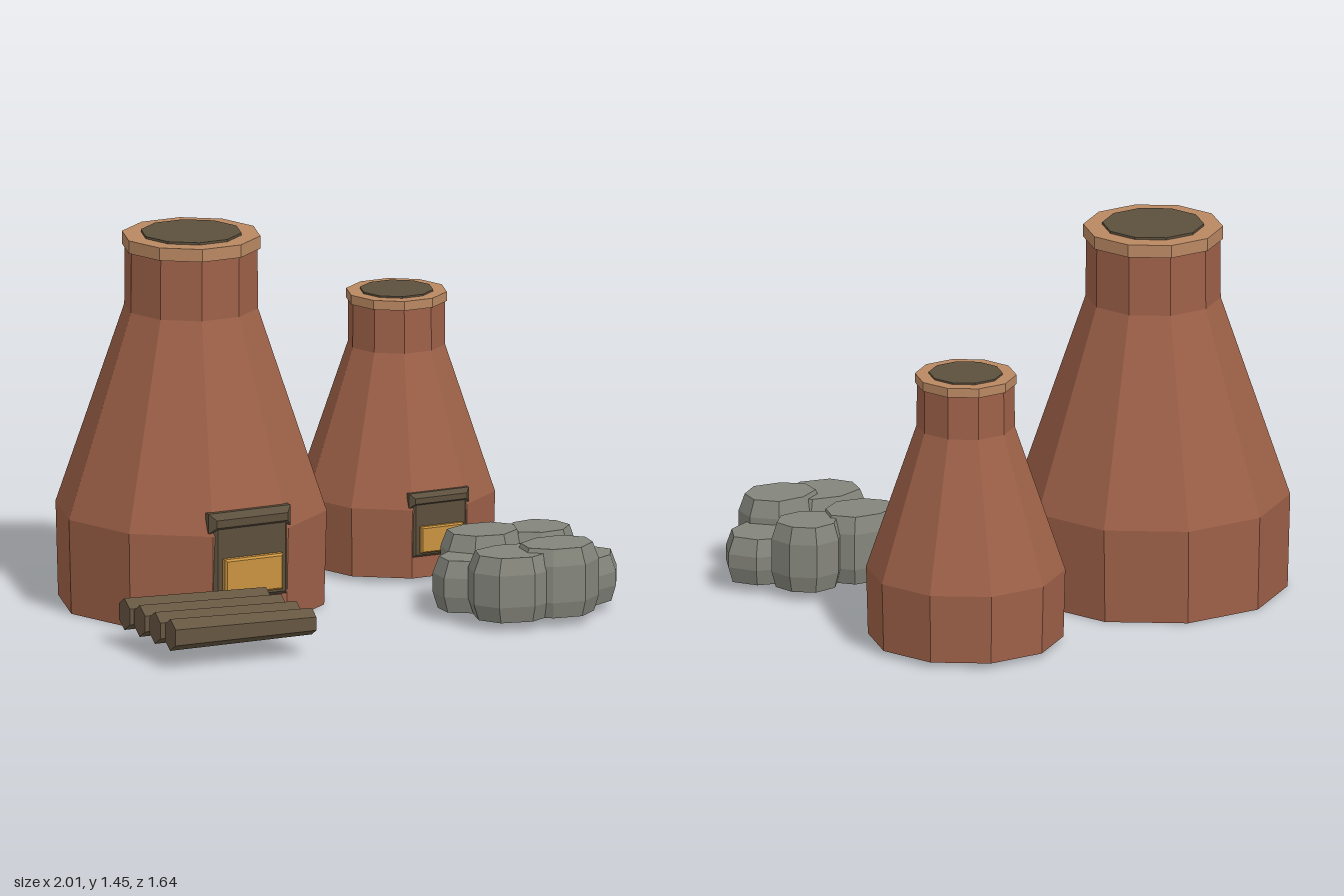
import * as THREE from 'three';

const mat = (name, color) => {
  const m = new THREE.MeshStandardMaterial({ color });
  m.name = name;
  return m;
};

export function createModel() {
  const brick = mat('terracotta', 0x9e6148);
  const rimClay = mat('pale clay', 0xba8862);
  const soot = mat('dark umber', 0x5c503d);
  const ember = mat('amber', 0xc8923f);
  const stone = mat('grey stone', 0x84857b);
  const wood = mat('brown wood', 0x665641);

  // Faceted mesh: every face keeps its own normal
  const flat = (geo, material, name) => {
    const g = geo.index ? geo.toNonIndexed() : geo;
    g.computeVertexNormals();
    const mesh = new THREE.Mesh(g, material);
    mesh.name = name;
    return mesh;
  };
  const turned = (profile, sides, turn = 0) => new THREE.LatheGeometry(
    profile.map(([r, y]) => new THREE.Vector2(r, y)), sides).rotateY(turn);

  // Box with chamfered edges, centred on its origin
  const chamferBox = (w, h, d, b) => {
    const x = w / 2 - b, y = h / 2 - b;
    const s = new THREE.Shape([[-x, -y], [x, -y], [x, y], [-x, y]].map(p => new THREE.Vector2(...p)));
    return new THREE.ExtrudeGeometry(s, {
      depth: d - 2 * b, bevelEnabled: true, bevelSize: b, bevelThickness: b, bevelSegments: 1,
    }).translate(0, 0, b - d / 2);
  };

  // Ten-sided bottle kiln with a rim, a sooty mouth and a fire door
  const kiln = (name) => {
    const g = new THREE.Group();
    g.name = name;
    const turn = Math.PI / 10;
    g.add(flat(turned([[0, 0], [0.515, 0], [0.525, 0.37], [0.259, 1.155], [0.257, 1.4], [0, 1.4]], 10, turn), brick, 'kilnBody'));
    g.add(flat(turned([[0, 1.39], [0.268, 1.39], [0.268, 1.44], [0, 1.44]], 10, turn), rimClay, 'rim'));
    g.add(flat(turned([[0, 1.4], [0.195, 1.4], [0.195, 1.449], [0, 1.449]], 10, turn), soot, 'chimneyMouth'));
    const panel = flat(chamferBox(0.315, 0.3, 0.07, 0.012), soot, 'doorPanel');
    panel.position.set(0, 0.265, 0.472);
    const lintel = flat(chamferBox(0.352, 0.078, 0.075, 0.024), soot, 'doorLintel');
    lintel.position.set(0, 0.42, 0.477);
    const glow = flat(chamferBox(0.25, 0.142, 0.06, 0.008), ember, 'fireHatch');
    glow.position.set(0, 0.211, 0.505);
    g.add(panel, lintel, glow);
    return g;
  };

  const model = new THREE.Group();
  model.name = 'kilnYard';

  const big = kiln('largeKiln');
  big.position.set(-0.415, 0, -0.26);
  const small = kiln('smallKiln');
  small.scale.setScalar(0.727);
  small.position.set(0.57, 0.02, -0.46);
  model.add(big, small);

  // Row of tapered six-sided logs
  const logs = new THREE.Group();
  logs.name = 'firewood';
  for (let i = 0; i < 4; i++) {
    const geo = new THREE.CylinderGeometry(0.0625, 0.052, 0.587, 6);
    geo.rotateZ(Math.PI / 2);
    // lay the log askew, keeping a ridge on top
    const p = geo.attributes.position;
    let top = 0;
    for (let k = 0; k < p.count; k++) top = Math.max(top, p.getY(k));
    if (top < 0.06) geo.rotateX(Math.PI / 6);
    const log = flat(geo, wood, 'log');
    log.rotation.y = -0.078;
    log.position.set(-0.705, 0.13, 0.34 + i * 0.128);
    logs.add(log);
  }
  model.add(logs);

  // Ring of chamfered boulders: x, z, half width, half depth, top height, turn
  const rocks = new THREE.Group();
  rocks.name = 'stonePile';
  [
    [0.525, 0.355, 0.168, 0.132, 0.305, 0.2],
    [0.755, 0.365, 0.143, 0.13, 0.295, 0.5],
    [0.83, 0.545, 0.168, 0.145, 0.218, 0.05],
    [0.675, 0.685, 0.17, 0.133, 0.307, 0.3],
    [0.495, 0.67, 0.185, 0.14, 0.29, 0.1],
    [0.43, 0.47, 0.168, 0.135, 0.24, 0.4],
  ].forEach(([x, z, rx, rz, top, turn]) => {
    const geo = turned([[0, 0.037], [0.88, 0.037], [1, 0.1], [1, top - 0.065], [0.85, top], [0, top]], 8, turn);
    const p = geo.attributes.position;
    // slightly uneven outline
    for (let i = 0; i < p.count; i++) {
      const a = Math.atan2(p.getZ(i), p.getX(i));
      const k = 1 + 0.04 * Math.cos(3 * a + turn * 9);
      p.setXYZ(i, p.getX(i) * rx * k, p.getY(i), p.getZ(i) * rz * k);
    }
    const rock = flat(geo, stone, 'boulder');
    rock.position.set(x, 0, z);
    rocks.add(rock);
  });
  model.add(rocks);

  return model;
}
